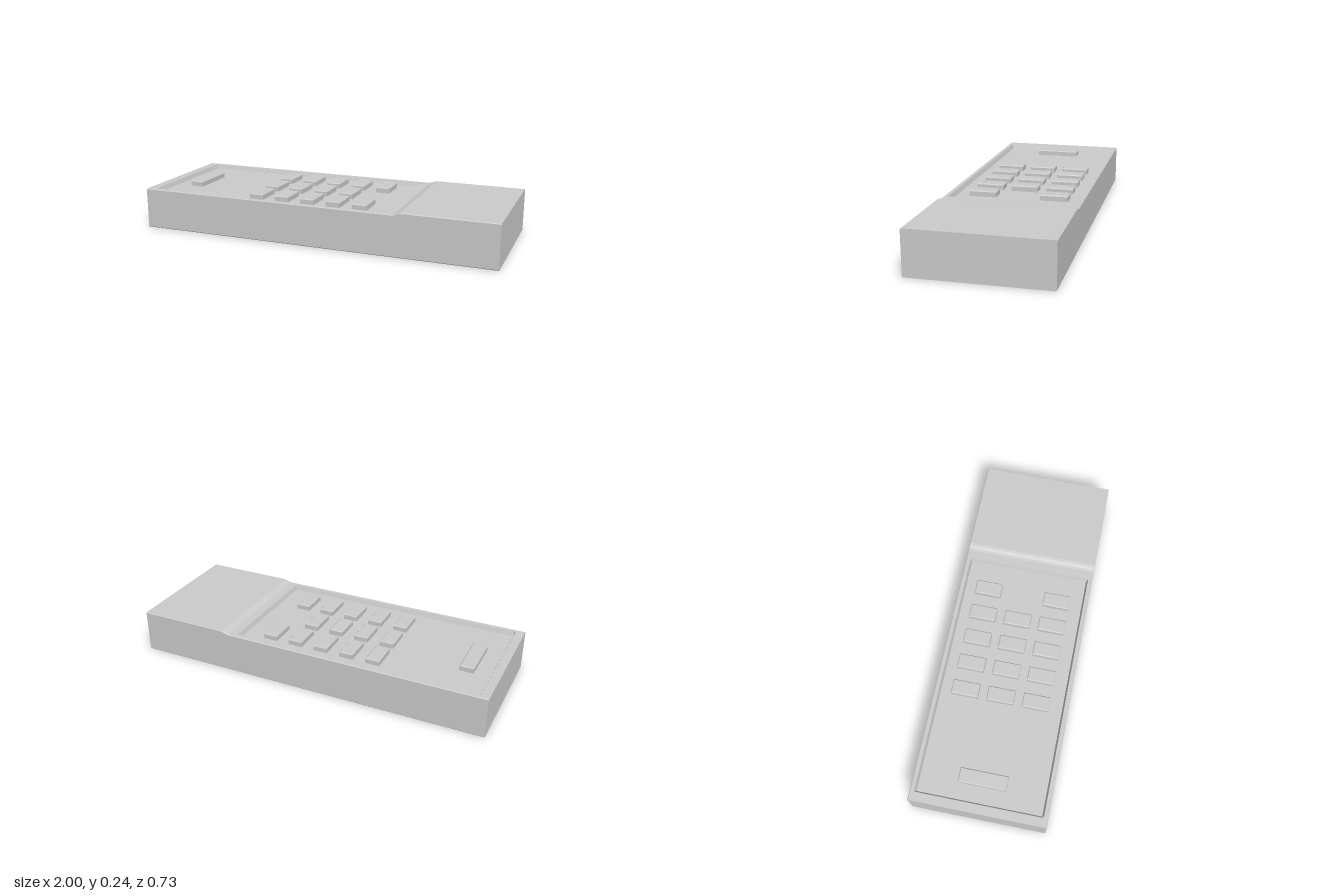
import * as THREE from 'three';

const material = new THREE.MeshStandardMaterial({ color: 0xcccccc, flatShading: true });
const HALF = 0.365, EDGE = 0.004, RIM = 0.225, HEAD = 0.238, FLOOR = 0.2;

// Cross-section in z and y, running over the top from +z to -z and back underneath
function section(x, top, floor) {
  const right = [[HALF - EDGE, 0], [HALF, EDGE], [HALF, top - EDGE], [HALF - EDGE, top], [0.341, top], [0.332, floor]];
  const left = right.map(([z, y]) => [-z, y]).reverse();
  return [...right, ...left].map(([z, y]) => [x, y, z]);
}

// Shell lofted along x, with the sunken key panel formed by lowering the floor points
function bodyGeometry() {
  const rings = [
    [-1, RIM, RIM], [-0.952, RIM, RIM], [-0.943, RIM, FLOOR], [0.4, RIM, FLOOR], [0.409, RIM, RIM],
    [0.455, RIM, RIM], [0.468, 0.2275, 0.2275], [0.483, 0.235, 0.235], [0.497, HEAD, HEAD], [1, HEAD, HEAD],
  ].map((r) => section(...r));
  const n = rings[0].length;
  const positions = rings.flat(2);
  const index = [];
  for (let i = 0; i < rings.length - 1; i++) {
    for (let j = 0; j < n; j++) {
      const a = i * n + j, b = i * n + (j + 1) % n;
      index.push(a, a + n, b, b, a + n, b + n);
    }
  }
  // Flat end faces
  const last = (rings.length - 1) * n;
  for (let j = 1; j < n - 1; j++) {
    index.push(0, j, j + 1);
    index.push(last, last + j + 1, last + j);
  }
  const geometry = new THREE.BufferGeometry();
  geometry.setAttribute('position', new THREE.Float32BufferAttribute(positions, 3));
  geometry.setIndex(index);
  const flat = geometry.toNonIndexed();
  flat.computeVertexNormals();
  return flat;
}

// Key with a chamfered top edge
function keyGeometry(width, length) {
  const bottom = FLOOR - 0.005, top = 0.231, chamfer = 0.005;
  const w = width / 2 - chamfer, l = length / 2 - chamfer;
  const shape = new THREE.Shape([[-w, -l], [w, -l], [w, l], [-w, l]].map((p) => new THREE.Vector2(...p)));
  const geometry = new THREE.ExtrudeGeometry(shape, {
    depth: top - bottom - 2 * chamfer, bevelEnabled: true, bevelSegments: 1,
    bevelSize: chamfer, bevelThickness: chamfer,
  });
  return geometry.rotateX(-Math.PI / 2).translate(0, bottom + chamfer, 0);
}

export function createModel() {
  const model = new THREE.Group();
  model.name = 'remoteControl';
  const add = (name, geometry, x = 0, z = 0, parent = model) => {
    const mesh = new THREE.Mesh(geometry, material);
    mesh.name = name;
    mesh.position.set(x, 0, z);
    parent.add(mesh);
  };

  add('body', bodyGeometry());

  // Three rows of keys, the middle one a key shorter
  const keypad = new THREE.Group();
  keypad.name = 'keypad';
  model.add(keypad);
  const key = keyGeometry(0.078, 0.148);
  [[-0.2, 5], [-0.005, 4], [0.188, 5]].forEach(([z, count]) => {
    for (let i = 0; i < count; i++) add('key', key, -0.358 + i * 0.15, z, keypad);
  });

  // Long key near the end of the panel
  add('longKey', keyGeometry(0.077, 0.256), -0.818, -0.004);
  return model;
}
